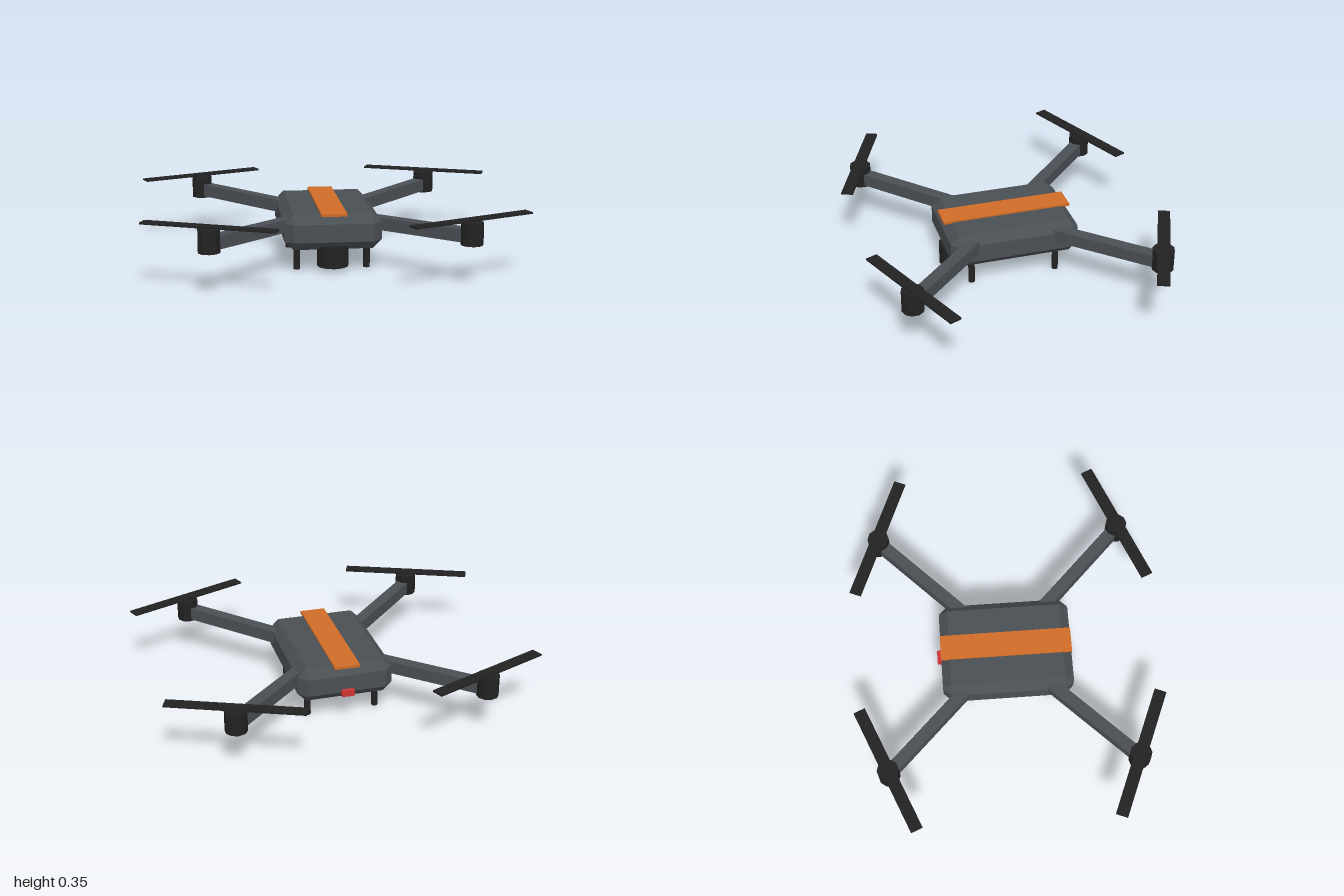
import * as THREE from 'three';
import { ConvexGeometry } from 'three/addons/geometries/ConvexGeometry.js';

const material = (name, color) => {
  const m = new THREE.MeshStandardMaterial({ color, flatShading: true });
  m.name = name;
  return m;
};

// Box with every edge and corner cut off by c
function chamferedBox(w, h, d, c) {
  const points = [];
  for (const sx of [-1, 1]) for (const sy of [-1, 1]) for (const sz of [-1, 1]) {
    const x = w / 2, y = h / 2, z = d / 2;
    points.push(
      new THREE.Vector3(sx * x, sy * (y - c), sz * (z - c)),
      new THREE.Vector3(sx * (x - c), sy * y, sz * (z - c)),
      new THREE.Vector3(sx * (x - c), sy * (y - c), sz * z));
  }
  return new ConvexGeometry(points);
}

export function createModel() {
  const grey = material('hullGrey', 0x4a4f54);
  const black = material('black', 0x222222);
  const orange = material('orange', 0xd06c28);
  const red = material('red', 0xcc3333);

  const model = new THREE.Group();
  model.name = 'quadcopter';
  const add = (name, geometry, mat, x, y, z, parent = model) => {
    const mesh = new THREE.Mesh(geometry, mat);
    mesh.name = name;
    mesh.position.set(x, y, z);
    parent.add(mesh);
    return mesh;
  };

  // Fuselage with top stripe, tail light and belly camera
  add('body', chamferedBox(0.516, 0.19, 0.704, 0.047), grey, 0, 0.215, 0);
  add('topStripe', new THREE.BoxGeometry(0.136, 0.015, 0.704), orange, 0, 0.312, 0);
  add('tailLight', new THREE.BoxGeometry(0.068, 0.034, 0.04), red, 0, 0.168, -0.355);
  add('camera', new THREE.CylinderGeometry(0.083, 0.083, 0.116, 12), black, 0, 0.084, 0.283);

  const legGeometry = new THREE.CylinderGeometry(0.018, 0.018, 0.14, 8);
  const motorGeometry = new THREE.CylinderGeometry(0.058, 0.058, 0.118, 10);
  const bladeGeometry = new THREE.BoxGeometry(0.71, 0.009, 0.065);

  // Four mirrored corners: leg, arm, motor and propeller
  for (const sx of [-1, 1]) for (const sz of [-1, 1]) {
    const corner = new THREE.Group();
    corner.name = (sz > 0 ? 'front' : 'rear') + (sx > 0 ? 'Left' : 'Right') + 'Corner';
    model.add(corner);

    add('leg', legGeometry, black, sx * 0.187, 0.07, sz * 0.235, corner);

    const inner = new THREE.Vector3(sx * 0.222, 0.245, sz * 0.222);
    const outer = new THREE.Vector3(sx * 0.65, 0.26, sz * 0.65);
    const mid = inner.clone().lerp(outer, 0.5);
    const armGeometry = new THREE.BoxGeometry(0.065, 0.068, inner.distanceTo(outer));
    add('arm', armGeometry, grey, mid.x, mid.y, mid.z, corner).lookAt(outer);

    add('motor', motorGeometry, black, sx * 0.66, 0.274, sz * 0.66, corner);
    const blade = add('propeller', bladeGeometry, black, sx * 0.66, 0.345, sz * 0.66, corner);
    blade.rotation.y = sx * sz * Math.PI / 8;
  }
  return model;
}
